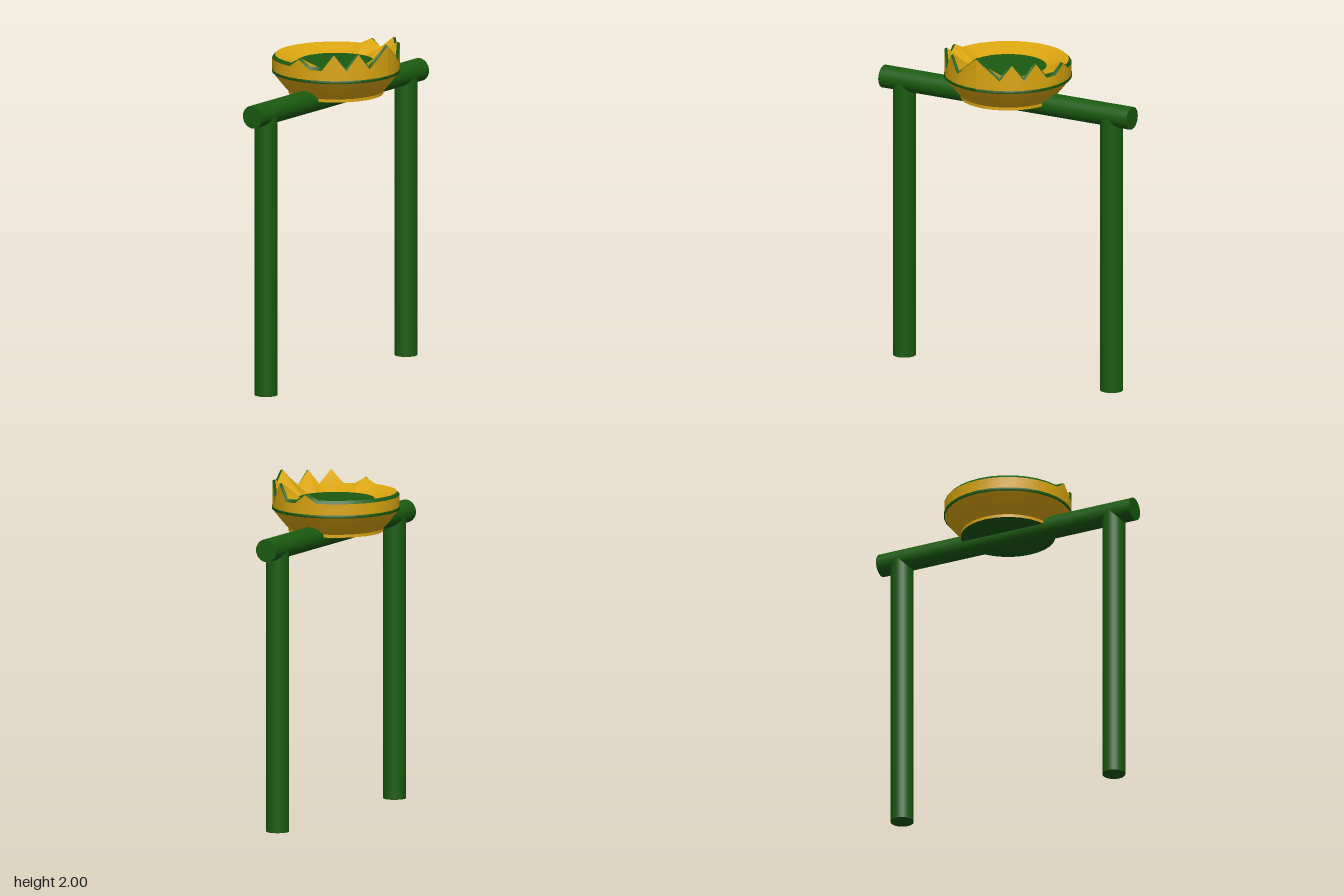
import * as THREE from 'three';

const SEG = 32;
const green = new THREE.MeshStandardMaterial({ color: 0x1a5a10 });
const yellow = new THREE.MeshStandardMaterial({ color: 0xdaa510 });

// Rim height per segment step away from the +x side: peaks, valleys, then flat
const crown = [2.0, 1.945, 1.893, 1.975, 1.89, 1.975, 1.893, 1.893, 1.935];
const rimHeight = (i) => crown[Math.min(i % SEG, SEG - (i % SEG))] ?? 1.9;
const isPeak = (i) => rimHeight(i) > 1.92;

// Smooth surface through rings; each ring is [radius, height or height(i)]
function ringSurface(name, rings, material) {
  const pos = [], index = [], row = SEG + 1;
  rings.forEach(([r, h], j) => {
    for (let i = 0; i <= SEG; i++) {
      const a = (i % SEG) / SEG * Math.PI * 2;
      pos.push(r * Math.cos(a), typeof h === 'function' ? h(i) : h, r * Math.sin(a));
      if (j && i < SEG) {
        const p = (j - 1) * row + i, q = p + row;
        index.push(p, q, p + 1, q, q + 1, p + 1);
      }
    }
  });
  const g = new THREE.BufferGeometry();
  g.setAttribute('position', new THREE.Float32BufferAttribute(pos, 3));
  g.setIndex(index);
  g.computeVertexNormals();
  const mesh = new THREE.Mesh(g, material);
  mesh.name = name;
  return mesh;
}

function rod(name, length) {
  const mesh = new THREE.Mesh(new THREE.CylinderGeometry(0.067, 0.067, length, 32), green);
  mesh.name = name;
  return mesh;
}

function disc(name, radius, y, up) {
  const mesh = new THREE.Mesh(new THREE.CircleGeometry(radius, SEG), green);
  mesh.name = name;
  mesh.rotation.x = up ? -Math.PI / 2 : Math.PI / 2;
  mesh.position.y = y;
  return mesh;
}

export function createModel() {
  const model = new THREE.Group();

  // Frame: two posts and a crossbar
  for (const [name, z] of [['frontPost', 0.695], ['backPost', -0.695]]) {
    const post = rod(name, 1.667);
    post.position.set(0, 1.667 / 2, z);
    model.add(post);
  }
  const bar = rod('crossbar', 1.664);
  bar.rotation.x = Math.PI / 2;
  bar.position.y = 1.667;
  model.add(bar);

  // Bowl with a jagged crown on the +x side
  const bowl = new THREE.Group();
  bowl.name = 'bowl';
  const outerEdge = (i) => rimHeight(i) - (isPeak(i) ? 0.006 : 0.018);
  bowl.add(
    disc('bowlBase', 0.275, 1.67, false),
    ringSurface('bowlFoot', [[0.275, 1.67], [0.275, 1.688]], yellow),
    ringSurface('bowlFlare', [[0.275, 1.688], [0.303, 1.718], [0.335, 1.757], [0.368, 1.8]], yellow),
    ringSurface('bowlBand', [[0.366, 1.798], [0.372, 1.8], [0.372, 1.815], [0.366, 1.817]], green),
    ringSurface('bowlWall', [[0.37, 1.812], [0.37, outerEdge]], yellow),
    ringSurface('crownEdge', [[0.37, outerEdge], [0.354, rimHeight]], green),
    ringSurface('bowlInside', [[0.354, rimHeight], [0.224, 1.86]], yellow),
    disc('bowlFloor', 0.224, 1.86, true),
  );
  model.add(bowl);
  return model;
}
